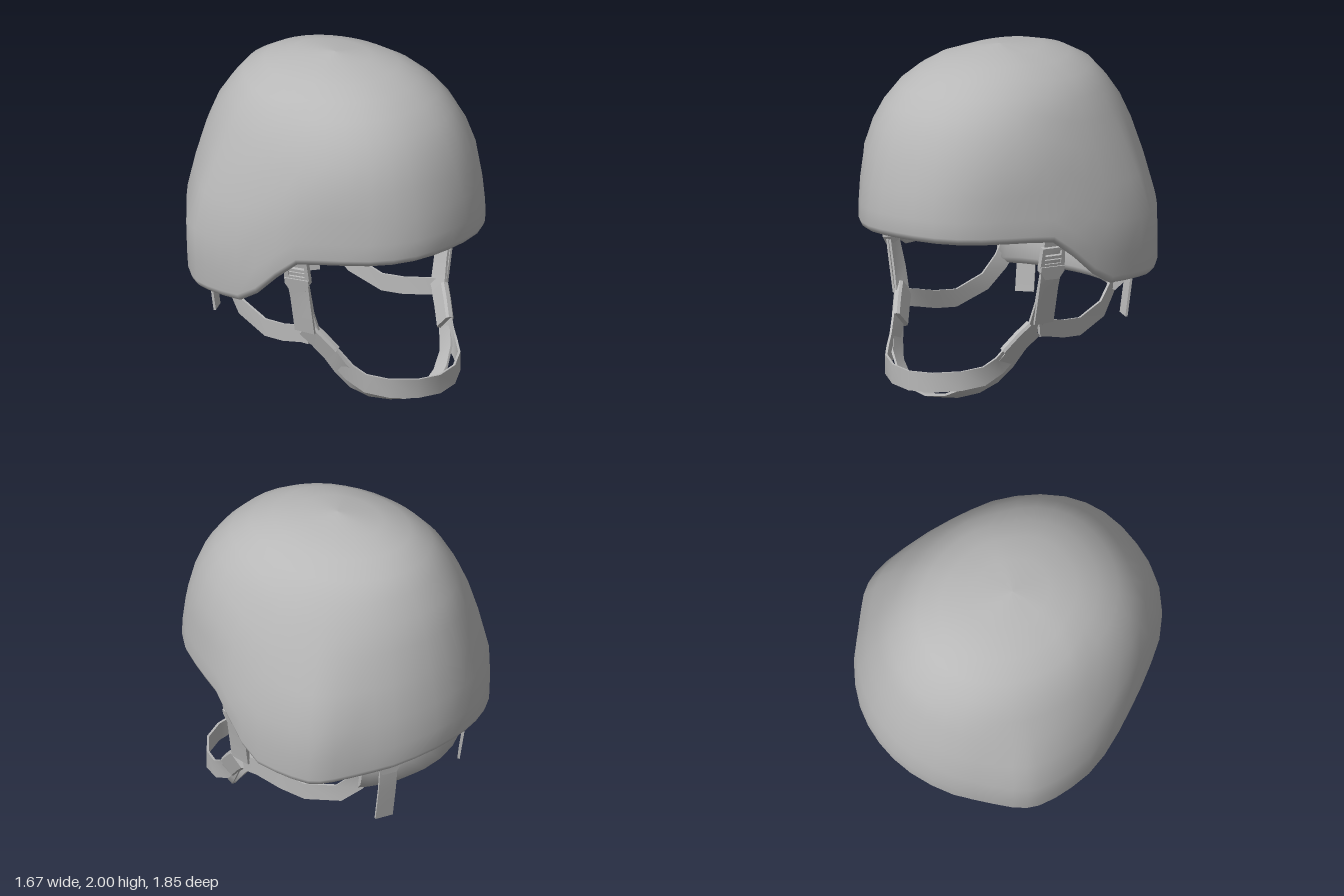
import * as THREE from 'three';
import { toCreasedNormals } from 'three/addons/utils/BufferGeometryUtils.js';

const grey = new THREE.MeshStandardMaterial({ color: 0xb8b8b8 });
grey.name = 'grey';
const V = (x, y, z) => new THREE.Vector3(x, y, z);

// linear lookup in a table of rows sorted by their first value
function lookup(table, v, col = 1) {
  if (v <= table[0][0]) return table[0][col];
  for (let i = 1; i < table.length; i++) {
    const a = table[i - 1], b = table[i];
    if (v <= b[0]) return a[col] + (b[col] - a[col]) * (v - a[0]) / (b[0] - a[0]);
  }
  return table[table.length - 1][col];
}

function buildGeometry(positions, index) {
  const g = new THREE.BufferGeometry();
  g.setAttribute('position', new THREE.Float32BufferAttribute(positions, 3));
  g.setIndex(index);
  g.computeVertexNormals();
  return g;
}

function mesh(name, geometry) {
  const m = new THREE.Mesh(geometry, grey);
  m.name = name;
  return m;
}

// half plan outline, front to back: x, z
const OUTLINE = [[0, 0.925], [0.24, 0.89], [0.45, 0.755], [0.615, 0.53], [0.74, 0.31], [0.815, 0.08],
  [0.84, -0.15], [0.82, -0.36], [0.765, -0.48], [0.625, -0.63], [0.46, -0.78], [0.23, -0.895], [0, -0.93]];
// plan scale by height: y, sideways, forwards, backwards
const SCALE = [[0.64, 0.985, 1, 0.99], [1.05, 0.99, 1, 1], [1.2, 0.945, 1, 0.965], [1.43, 0.865, 0.94, 0.9],
  [1.62, 0.755, 0.86, 0.83], [1.76, 0.67, 0.75, 0.72], [1.86, 0.55, 0.62, 0.63], [1.94, 0.39, 0.43, 0.47],
  [1.985, 0.2, 0.22, 0.27], [2, 0, 0, 0]];
// rim height by z, from back to front
const RIM = [[-0.93, 0.865], [-0.75, 0.8], [-0.4, 0.71], [-0.03, 0.725], [0.06, 0.76], [0.2, 0.895],
  [0.34, 1.02], [0.42, 1.03], [0.85, 1.045], [0.93, 1.055]];

// shell: one skin from the inner crown, round the rim, to the outer crown
function shell() {
  const right = OUTLINE.slice(1, -1).reverse().map(([x, z]) => [-x, z]);
  const plan = new THREE.CatmullRomCurve3([...OUTLINE, ...right].map(([x, z]) => V(x, 0, z)), true);
  const N = 44;
  const levels = [0, 0.1, 0.25, 0.42, 0.58, 0.7, 0.8, 0.88, 0.94, 0.98, 1];
  const rows = [
    ...[...levels].reverse().map(t => ({ t, s: 0.945, drop: t * 0.05 })),
    { t: 0, s: 0.95, drop: 0.03 }, { t: 0, s: 0.968, drop: 0.04 }, { t: 0, s: 0.988, drop: 0.025 },
    ...levels.map(t => ({ t, s: 1, drop: 0 })),
  ];
  const pos = [], index = [];
  for (const { t, s, drop } of rows) {
    for (let i = 0; i < N; i++) {
      const p = plan.getPoint(i / N);
      const rim = lookup(RIM, p.z);
      const y = rim + (2 - rim) * t;
      // the egg-shaped plan fills out to a rounder one towards the crown
      const e = p.z > 0 ? 2.2 : 2;
      const full = 1 / Math.pow(Math.abs(p.x / 0.84) ** e + Math.abs(p.z / 0.93) ** e, 1 / e);
      const k = s * THREE.MathUtils.lerp(1, full, THREE.MathUtils.smoothstep(y, 1, 1.65));
      const kz = lookup(SCALE, y, p.z > 0 ? 2 : 3);
      pos.push(p.x * lookup(SCALE, y, 1) * k, y - drop, p.z * kz * k);
    }
  }
  for (let j = 0; j < rows.length - 1; j++) {
    for (let i = 0; i < N; i++) {
      const a = j * N + i, b = j * N + (i + 1) % N;
      index.push(a, b, b + N, a, b + N, a + N);
    }
  }
  // slight sideways lean about the middle
  const g = buildGeometry(pos, index);
  g.translate(0, -1, 0).rotateZ(0.03).translate(0, 1, 0);
  return mesh('helmetShell', g);
}

// sweep a section (across, thick) along stations [x, y, z, wx, wy, wz], w being the width direction
function sweep(name, stations, section, crease = 0.6) {
  const P = stations.map(s => V(s[0], s[1], s[2]));
  const pos = [], index = [], n = section.length, last = P.length - 1;
  P.forEach((p, i) => {
    const t = P[Math.min(i + 1, last)].clone().sub(P[Math.max(i - 1, 0)]).normalize();
    const w = V(stations[i][3], stations[i][4], stations[i][5]).normalize();
    const d = t.cross(w).normalize();
    for (const [a, b] of section) {
      pos.push(...p.clone().addScaledVector(w, a).addScaledVector(d, b).toArray());
    }
  });
  for (let i = 0; i < last; i++) {
    for (let k = 0; k < n; k++) {
      const a = i * n + k, b = i * n + (k + 1) % n;
      index.push(a, b, b + n, a, b + n, a + n);
    }
  }
  for (let k = 1; k < n - 1; k++) {
    index.push(0, k + 1, k, last * n, last * n + k, last * n + k + 1);
  }
  return mesh(name, toCreasedNormals(buildGeometry(pos, index), crease));
}

const band = (w, t = 0.014) => [[-w / 2, -t / 2], [w / 2, -t / 2], [w / 2, t / 2], [-w / 2, t / 2]];
const flip = stations => stations.map(([x, y, z, a, b, c]) => [-x, y, z, -a, b, c]);
// full run from right to left, from a half that starts on the centre line
const bothHalves = half => [...flip(half.slice(1)).reverse(), ...half];

// ladder buckle: slotted frame with a tapered tongue under it
function buckle(name) {
  const group = new THREE.Group();
  group.name = name;
  const poly = pts => pts.map(([x, y]) => new THREE.Vector2(x, y));
  const frame = new THREE.Shape(poly([[-0.078, 0], [0.078, 0], [0.07, 0.12], [-0.07, 0.12]]));
  for (const y of [0.02, 0.07]) {
    frame.holes.push(new THREE.Path(poly([[-0.052, y], [-0.052, y + 0.033], [0.052, y + 0.033], [0.052, y]])));
  }
  const tongue = new THREE.Shape(poly([[-0.045, -0.075], [0.045, -0.075], [0.075, -0.03], [0.075, 0.005], [-0.075, 0.005], [-0.075, -0.03]]));
  const cut = (shape, depth) => new THREE.ExtrudeGeometry(shape, { depth, bevelEnabled: false }).translate(0, 0, -depth / 2);
  group.add(mesh('buckleFrame', cut(frame, 0.035)), mesh('buckleTongue', cut(tongue, 0.05)));
  return group;
}

// neck pad: plump section bent round the nape, smaller at its ends
function neckPad() {
  const section = [[-0.13, 0], [-0.06, -0.06], [0.07, -0.06], [0.115, -0.035],
    [0.128, 0.02], [0.1, 0.055], [-0.09, 0.055], [-0.12, 0.04]];
  const half = [[0, 0.63, -0.68], [0.13, 0.632, -0.667], [0.26, 0.638, -0.628], [0.36, 0.643, -0.575],
    [0.43, 0.645, -0.52], [0.46, 0.645, -0.485]].map(p => [...p, 0, 1, -0.14]);
  const pad = sweep('neckPad', bothHalves(half), section, 1.1);
  pad.position.x = -0.015;
  return pad;
}

// the harness parts on one side; s = 1 is the left
function sideHarness(s) {
  const g = new THREE.Group();
  g.name = s > 0 ? 'leftHarness' : 'rightHarness';
  const side = pts => (s > 0 ? pts : flip(pts));

  // strap down from the shell, with the doubled loose end outside it
  const wall = [-0.37, 0, 0.93];
  g.add(sweep('sideStrap', side([[0.65, 1.03, 0.285, ...wall], [0.62, 0.87, 0.28, ...wall],
    [0.56, 0.62, 0.28, -0.15, 0, 1], [0.515, 0.47, 0.3, 0, 0.25, 1], [0.47, 0.38, 0.38, 0, 0.7, 0.7]]), band(0.115)));
  g.add(sweep('sideStrapEnd', side([[0.635, 0.88, 0.28, ...wall], [0.595, 0.7, 0.277, -0.2, 0, 1],
    [0.558, 0.485, 0.277, -0.2, 0, 1]]), band(0.135)));
  const sideBuckle = buckle('sideBuckle');
  sideBuckle.position.set(0.625 * s, 0.84, 0.283);
  sideBuckle.rotation.y = s * 1.2;
  sideBuckle.rotateX(0.18);
  g.add(sideBuckle);

  // slider where the chin straps meet, set higher on the right
  const e = 0.065, t = 0.026;
  const slider = sweep('strapSlider', side([[0.515, 0.455, 0.315, 0, 0.7, 0.7], [0.475, 0.39, 0.375, 0, 0.7, 0.7],
    [0.425, 0.3, 0.445, 0, 0.7, 0.7]]), [[-e, -t / 2], [-e * 0.8, -t], [e * 0.8, -t], [e, -t / 2],
    [e, t / 2], [e * 0.8, t], [-e * 0.8, t], [-e, t / 2]]);
  if (s < 0) slider.position.set(-0.025, 0.05, -0.05);
  g.add(slider);

  // strap running back to the neck pad
  g.add(sweep('rearStrap', side([[0.525, 0.45, 0.28, 0, 1, 0.1], [0.505, 0.435, 0.2, 0, 1, 0],
    [0.495, 0.395, 0.04, 0, 1, 0], [0.48, 0.375, -0.12, 0, 1, 0], [0.455, 0.435, -0.34, 0.1, 1, 0.35],
    [0.43, 0.54, -0.45, 0.3, 0.8, 0.6], [0.42, 0.63, -0.51, 0.5, 0.5, 0.7]]), band(0.105)));

  // rear hanging strap and its buckle
  const w = [0.85, 0, 0.5];
  g.add(sweep('napeStrap', side([[0.41, 1.05, -0.66, ...w], [0.405, 0.88, -0.64, ...w],
    [0.4, 0.72, -0.65, ...w], [0.395, 0.55, -0.635, ...w], [0.385, 0.335, -0.605, ...w]]), band(0.11)));
  const napeBuckle = buckle('napeBuckle');
  napeBuckle.position.set(0.402 * s, 0.75, -0.645);
  napeBuckle.rotation.y = Math.PI - s * 0.53;
  g.add(napeBuckle);
  return g;
}

export function createModel() {
  const model = new THREE.Group();
  model.name = 'helmet';
  model.add(shell(), neckPad(), sideHarness(1), sideHarness(-1));
  // front chin strap
  model.add(sweep('chinStrap', bothHalves([[0, 0.15, 0.815, 0, 1, 0], [0.15, 0.157, 0.785, 0, 1, 0],
    [0.29, 0.172, 0.69, 0, 1, 0], [0.37, 0.195, 0.58, 0, 1, 0.15], [0.41, 0.25, 0.49, 0, 0.8, 0.5],
    [0.46, 0.36, 0.4, 0, 0.7, 0.7]]), band(0.115)));
  // lower strap that cups the chin
  model.add(sweep('chinCupStrap', bothHalves([[0, 0.022, 0.62, 0, 0.25, 1], [0.14, 0.042, 0.605, 0, 0.3, 1],
    [0.27, 0.095, 0.56, 0, 0.45, 0.9], [0.37, 0.175, 0.505, 0, 0.6, 0.8], [0.43, 0.27, 0.44, 0, 0.7, 0.7],
    [0.47, 0.36, 0.39, 0, 0.7, 0.7]]), band(0.115)));
  return model;
}
